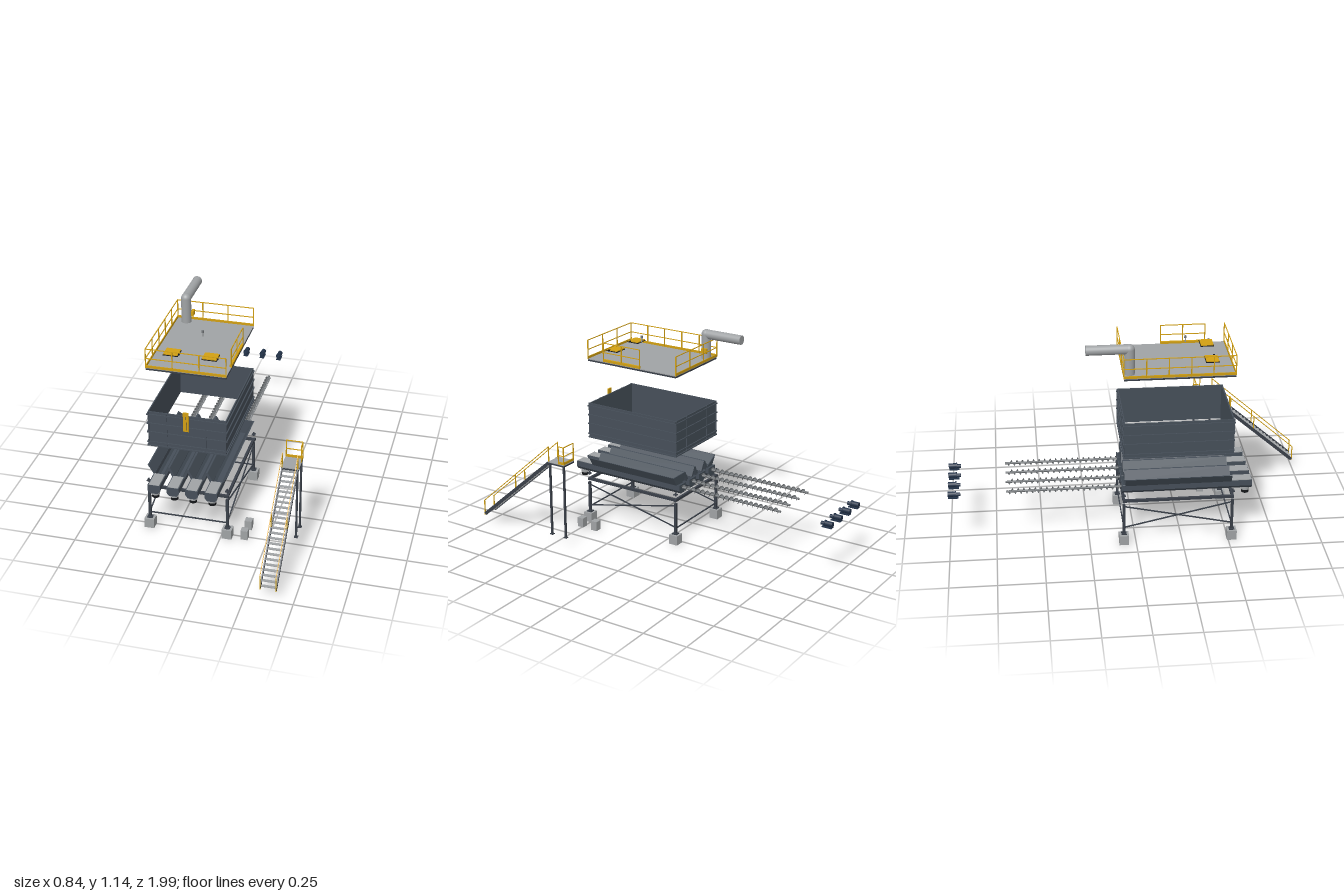
import * as THREE from 'three';
import { ParametricGeometry } from 'three/addons/geometries/ParametricGeometry.js';

export function createModel() {
  const root = new THREE.Group();
  root.name = 'explodedFeedBin';
  const mat = (name, color, side = THREE.FrontSide) => {
    const m = new THREE.MeshStandardMaterial({ color, side });
    m.name = name;
    return m;
  };
  const slate = mat('slatePaint', 0x464f59, THREE.DoubleSide);
  const frameMat = mat('frameSteel', 0x3a4049);
  const yellow = mat('safetyYellow', 0xd2a013);
  const grey = mat('lightGrey', 0xa0a3a5);
  const steel = mat('augerSteel', 0x74787b, THREE.DoubleSide);
  const black = mat('black', 0x15171a);
  const blue = mat('motorBlue', 0x24344a);

  const group = (name) => {
    const g = new THREE.Group();
    g.name = name;
    root.add(g);
    return g;
  };
  const add = (g, name, geo, m) => {
    const o = new THREE.Mesh(geo, m);
    o.name = name;
    g.add(o);
    return o;
  };
  // Box given by its limits
  const box = (g, name, m, x0, x1, y0, y1, z0, z1) => {
    const o = add(g, name, new THREE.BoxGeometry(x1 - x0, y1 - y0, z1 - z0), m);
    o.position.set((x0 + x1) / 2, (y0 + y1) / 2, (z0 + z1) / 2);
    return o;
  };
  // Square bar between two points
  const bar = (g, name, m, a, b, w = 0.005, h = w) => {
    const p = new THREE.Vector3(...a), q = new THREE.Vector3(...b);
    const o = add(g, name, new THREE.BoxGeometry(w, h, p.distanceTo(q)), m);
    o.position.copy(p).add(q).multiplyScalar(0.5);
    o.lookAt(q);
    return o;
  };
  const cyl = (g, name, m, r, len, x, y, z, alongZ = false, r2 = r) => {
    const o = add(g, name, new THREE.CylinderGeometry(r, r2, len, 24), m);
    o.position.set(x, y, z);
    if (alongZ) o.rotation.x = Math.PI / 2;
    return o;
  };
  const extrude = (g, name, m, pts, z0, z1) => {
    const s = new THREE.Shape(pts.map((p) => new THREE.Vector2(...p)));
    const o = add(g, name, new THREE.ExtrudeGeometry(s, { depth: z1 - z0, bevelEnabled: false }), m);
    o.position.z = z0;
    return o;
  };
  // Straight railing: top rail, mid rail, toe board and posts
  const railing = (g, x0, z0, x1, z1, y0, y1, posts) => {
    for (const y of [y0 + 0.008, (y0 + y1) / 2, y1])
      bar(g, 'rail', yellow, [x0, y, z0], [x1, y, z1], 0.004, y < y0 + 0.01 ? 0.014 : 0.004);
    for (let i = 0; i <= posts; i++) {
      const x = x0 + (x1 - x0) * i / posts, z = z0 + (z1 - z0) * i / posts;
      bar(g, 'railPost', yellow, [x, y0, z], [x, y1, z]);
    }
  };

  const X0 = -0.391, X1 = 0.031, Z0 = -0.063, Z1 = 0.515;
  const centres = [-0.336, -0.233, -0.13, -0.026];

  // Roof deck with railings
  const roof = group('roof');
  box(roof, 'roofDeck', grey, X0, X1, 0.972, 0.977, Z0, Z1);
  box(roof, 'roofUnderside', frameMat, X0, X1, 0.963, 0.972, Z0, Z1);
  railing(roof, X0, Z1, X1, Z1, 0.975, 1.083, 3);
  railing(roof, X0, Z0, X1, Z0, 0.975, 1.083, 3);
  railing(roof, X0, Z0, X0, Z1, 0.975, 1.083, 5);
  railing(roof, X1, 0.17, X1, 0.41, 0.975, 1.083, 2);
  box(roof, 'gateToeBoard', yellow, 0.022, 0.034, 0.978, 0.99, 0.17, 0.41);

  // Hatches lifted above the deck
  for (const x of [-0.283, -0.078]) {
    const h = group('hatch');
    box(h, 'hatchLid', yellow, x - 0.038, x + 0.038, 1.02, 1.025, 0.37, 0.437);
    box(h, 'hatchFrame', black, x - 0.04, x + 0.04, 1.016, 1.02, 0.368, 0.439);
    box(h, 'hatchHandle', black, x + 0.036, x + 0.044, 1.018, 1.026, 0.415, 0.425);
  }
  const sensor = group('levelSensor');
  cyl(sensor, 'sensorStem', grey, 0.003, 0.03, -0.154, 1.08, 0.28);
  cyl(sensor, 'sensorHead', steel, 0.006, 0.012, -0.154, 1.094, 0.28);

  // Extraction duct with rounded elbow
  const duct = group('duct');
  cyl(duct, 'ductRiser', grey, 0.027, 0.14, -0.333, 1.046, -0.03);
  cyl(duct, 'ductOutlet', grey, 0.026, 0.225, -0.333, 1.116, -0.1425, true);
  add(duct, 'ductElbow', new THREE.SphereGeometry(0.027, 24, 16), grey).position.set(-0.333, 1.116, -0.03);
  box(duct, 'ductDamper', yellow, -0.306, -0.292, 1.015, 1.042, -0.055, -0.022);

  // Bin: four walls with stiffening ribs
  const bin = group('bin');
  const B0 = 0.512, B1 = 0.717, t = 0.006;
  for (const z of [Z0, Z1 - t]) box(bin, 'binEndWall', slate, X0, X1, B0, B1, z, z + t);
  for (const x of [X0, X1 - t]) box(bin, 'binSideWall', slate, x, x + t, B0, B1, Z0, Z1);
  for (const y of [0.515, 0.535, 0.595, 0.647, 0.7]) {
    for (const z of [Z0 - t, Z1]) box(bin, 'endRib', slate, X0 - t, X1 + t, y - 0.003, y + 0.004, z, z + t);
    for (const x of [X0 - t, X1]) box(bin, 'sideRib', slate, x, x + t, y - 0.003, y + 0.004, Z0, Z1);
  }
  for (const x of [X0 + 0.004, -0.29, -0.08, X1 - 0.004])
    for (const z of [Z0 - 0.004, Z1]) box(bin, 'uprightRib', slate, x - 0.003, x + 0.003, B0, B1, z, z + 0.004);
  box(bin, 'accessLadder', yellow, -0.197, -0.167, 0.631, 0.743, Z1 + t, Z1 + t + 0.007);
  box(bin, 'ladderSeam', frameMat, -0.181, -0.179, 0.64, 0.72, Z1 + t + 0.007, Z1 + t + 0.008);

  // Hopper dividers and sloped outer walls
  const hopper = group('hopper');
  const hy = 0.334, ht = 0.386;
  for (let i = 0; i < 3; i++) {
    const a = centres[i] + 0.03, b = centres[i + 1] - 0.03, m = (a + b) / 2;
    extrude(hopper, 'hopperDivider', slate, [[a - 0.012, hy], [a + 0.003, hy - 0.008],
      [m, ht - 0.018], [b - 0.003, hy - 0.008], [b + 0.012, hy], [m + 0.005, ht], [m - 0.005, ht]], -0.055, Z1);
  }
  extrude(hopper, 'hopperLeftSlope', slate, [[-0.402, ht], [-0.37, hy], [-0.364, hy], [-0.396, ht]], -0.055, Z1);
  extrude(hopper, 'hopperRightSlope', slate, [[0.04, ht], [0.008, hy], [0.002, hy], [0.034, ht]], -0.055, Z1);
  extrude(hopper, 'hopperEndPlate', slate, [[-0.4, ht], [-0.37, hy], [-0.303, hy]], -0.055, -0.05);
  extrude(hopper, 'hopperEndPlate', slate, [[-0.078, ht], [-0.058, hy], [0.008, hy], [0.038, ht]], -0.055, -0.05);

  // One conveyor line per hopper: trough, spout, auger and motor
  const flight = new ParametricGeometry((u, v, p) => {
    const a = u * 20 * Math.PI * 2, r = 0.005 + v * 0.011;
    p.set(Math.cos(a) * r, Math.sin(a) * r, -0.07 - u * 0.61);
  }, 320, 1);
  for (const x of centres) {
    const c = group('conveyor');
    extrude(c, 'trough', slate, [[x - 0.033, 0.336], [x - 0.033, 0.304], [x - 0.02, 0.287],
      [x + 0.02, 0.287], [x + 0.033, 0.304], [x + 0.033, 0.336], [x + 0.029, 0.336], [x + 0.029, 0.305],
      [x + 0.018, 0.291], [x - 0.018, 0.291], [x - 0.029, 0.305], [x - 0.029, 0.336]], -0.07, 0.625);
    for (const z of [-0.073, 0.622])
      extrude(c, 'troughEndPlate', slate, [[x - 0.034, 0.337], [x - 0.034, 0.303], [x - 0.02, 0.286],
        [x + 0.02, 0.286], [x + 0.034, 0.303], [x + 0.034, 0.337]], z, z + 0.005);
    box(c, 'troughCover', grey, x - 0.028, x + 0.028, 0.334, 0.339, 0.515, 0.625);
    cyl(c, 'spoutCollar', grey, 0.022, 0.02, x, 0.278, 0.595);
    cyl(c, 'spout', black, 0.02, 0.018, x, 0.26, 0.595);
    cyl(c, 'augerShaft', steel, 0.006, 0.62, x, 0.316, -0.38, true);
    add(c, 'augerFlight', flight, steel).position.set(x, 0.316, 0);
    cyl(c, 'motorBody', blue, 0.014, 0.04, x, 0.315, -0.978, true);
    cyl(c, 'motorFlange', blue, 0.017, 0.006, x, 0.315, -0.955, true);
    cyl(c, 'motorGearbox', blue, 0.01, 0.022, x, 0.312, -0.942, true);
    box(c, 'motorFoot', blue, x - 0.013, x + 0.013, 0.293, 0.299, -0.995, -0.94);
    box(c, 'motorPlinth', blue, x - 0.008, x + 0.008, 0.297, 0.31, -0.99, -0.96);
  }

  // Support frame with footings
  const frame = group('supportFrame');
  const lx = [-0.397, 0.034], lz = [-0.066, 0.519];
  for (const z of lz) {
    box(frame, 'crossBeam', frameMat, -0.405, 0.044, 0.252, 0.266, z - 0.007, z + 0.007);
    bar(frame, 'lowerTie', frameMat, [lx[0], 0.089, z], [lx[1], 0.089, z], 0.006);
  }
  for (const x of lx) {
    box(frame, 'sideBeam', frameMat, x - 0.007, x + 0.007, 0.252, 0.266, lz[0], lz[1]);
    bar(frame, 'brace', frameMat, [x, 0.225, lz[0]], [x, 0.095, lz[1]], 0.006);
    bar(frame, 'brace', frameMat, [x, 0.095, lz[0]], [x, 0.225, lz[1]], 0.006);
    for (const z of lz) {
      box(frame, 'column', frameMat, x - 0.007, x + 0.007, 0.06, 0.24, z - 0.007, z + 0.007);
      box(frame, 'basePlate', frameMat, x - 0.014, x + 0.014, 0.055, 0.061, z - 0.014, z + 0.014);
      box(frame, 'footing', grey, x - 0.027, x + 0.027, 0, 0.055, z - 0.026, z + 0.026);
      box(frame, 'mountPlate', frameMat, x - 0.01, x + 0.01, 0.29, 0.294, z - 0.01, z + 0.01);
      cyl(frame, 'mountBolt', frameMat, 0.004, 0.022, x, 0.294, z);
    }
  }

  // Stair with treads, sloped handrails and landing
  const stair = group('stair');
  const sx = [0.327, 0.409], foot = [0.065, 0.99], head = [0.482, 0.515];
  for (const x of sx) {
    bar(stair, 'stringer', frameMat, [x, ...foot], [x, ...head], 0.006, 0.018);
    bar(stair, 'handrail', yellow, [x, 0.145, 0.995], [x, 0.575, 0.515], 0.004);
    for (const [y, z] of [[0.06, 0.992], [0.27, 0.757], [0.485, 0.517]])
      bar(stair, 'handrailPost', yellow, [x, y, z], [x, y + 0.086, z]);
  }
  for (let i = 0; i < 23; i++) {
    const k = (i + 0.5) / 23;
    const y = foot[0] + k * (head[0] - foot[0]), z = foot[1] + k * (head[1] - foot[1]);
    box(stair, 'tread', grey, sx[0], sx[1], y - 0.002, y + 0.002, z - 0.008, z + 0.008);
  }
  box(stair, 'landing', grey, 0.321, 0.415, 0.484, 0.488, 0.41, 0.517);
  box(stair, 'landingFrame', frameMat, 0.321, 0.415, 0.475, 0.484, 0.41, 0.517);
  railing(stair, 0.325, 0.412, 0.413, 0.412, 0.488, 0.589, 1);
  railing(stair, 0.413, 0.412, 0.413, 0.447, 0.488, 0.589, 1);
  for (const z of [0.416, 0.51]) {
    box(stair, 'landingLeg', frameMat, 0.402, 0.412, 0.058, 0.476, z - 0.005, z + 0.005);
    box(stair, 'legBase', frameMat, 0.397, 0.417, 0.055, 0.059, z - 0.01, z + 0.01);
    box(stair, 'stairFooting', grey, 0.107, 0.146, 0, 0.055, z - 0.019, z + 0.019);
  }
  return root;
}
